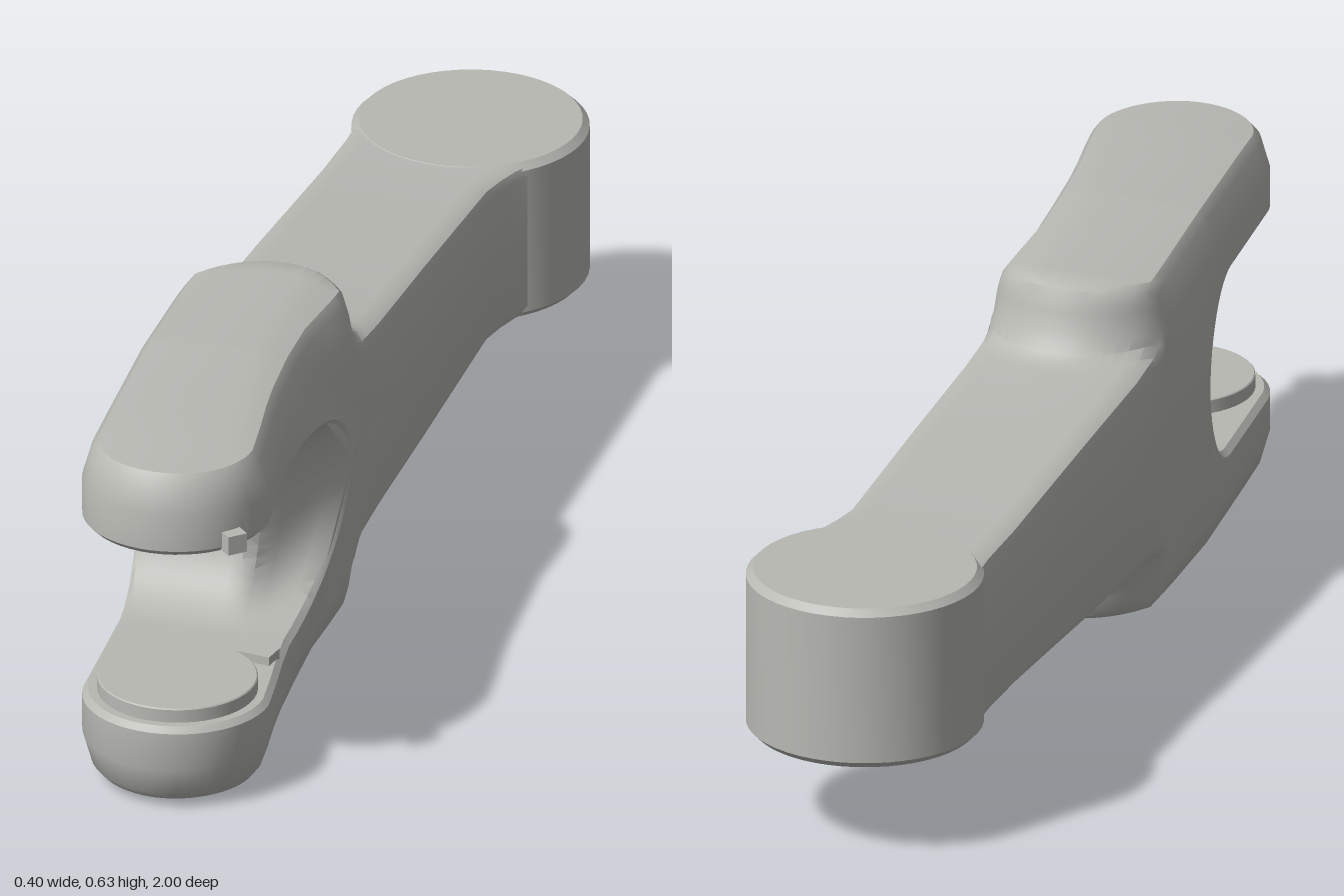
import * as THREE from 'three';
import { toCreasedNormals } from 'three/addons/utils/BufferGeometryUtils.js';

const MID = 0.32;               // height of the mirror plane
const TIP_Z = 0.84, TIP_R = 0.16;
const SLOT_Z = 0.475, SLOT_LEN = 0.135, SLOT_H = 0.16;

// linear interpolation through [position, value] keys
function keyed(keys) {
  return (s) => {
    if (s <= keys[0][0]) return keys[0][1];
    for (let i = 1; i < keys.length; i++) {
      const [a, va] = keys[i - 1], [b, vb] = keys[i];
      if (s <= b) return va + (vb - va) * (s - a) / (b - a);
    }
    return keys[keys.length - 1][1];
  };
}

const leftEdge = keyed([[-0.8, -0.19], [-0.68, -0.185], [-0.4, -0.19], [0, -0.198], [0.2, -0.196], [0.5, -0.184], [0.84, -0.16]]);
const rightEdge = keyed([[-0.8, 0.19], [-0.72, 0.175], [-0.68, 0.152], [-0.64, 0.134], [-0.6, 0.122], [-0.55, 0.112], [0.2, 0.11], [0.35, 0.105], [0.5, 0.113], [0.61, 0.124], [0.68, 0.134], [0.76, 0.148], [0.84, 0.16]]);
const outerHeight = keyed([[-0.8, 0.141], [-0.55, 0.144], [0, 0.175], [0.06, 0.184], [0.08, 0.196], [0.1, 0.228], [0.115, 0.275], [0.125, 0.296], [0.14, 0.305], [0.5, 0.317], [0.8, 0.312], [1, 0.303]]);
const prongBlend = keyed([[0.09, 0], [0.125, 1]]);
const stepWarp = keyed([[-0.1, 0], [0.08, 1], [0.14, 1], [0.5, 0]]);
const slotWarp = keyed([[-0.3, 0], [SLOT_Z, 1], [0.61, 0]]);
const crestLine = keyed([[0.14, 0.02], [0.5, 0.045], [0.85, 0.125]]);

// rounded rear edge of the raised prong and flared right side of the slot
const stepArc = (x) => Math.min(0.11, 0.16 - Math.sqrt(Math.max(0, 0.0256 - (x + 0.04) ** 2)));
const slotFlare = (x) => 2.8 * Math.max(0, Math.min(x, 0.115) - 0.02);

function slotHeight(s) {
  const t = Math.min(1, Math.max(0, (s - SLOT_Z) / SLOT_LEN));
  return SLOT_H * Math.sqrt(Math.max(0, 1 - (1 - t) ** 2));
}

// cross-section of the upper half, counterclockwise seen from the front
function section(s) {
  const sin = Math.min(1, Math.max(0, (s - TIP_Z) / TIP_R));
  const cos = Math.sqrt(1 - sin * sin);
  const xl = s > TIP_Z ? -TIP_R * cos : leftEdge(s);
  const xr = s > TIP_Z ? TIP_R * cos : rightEdge(s);
  const b = prongBlend(s), h = slotHeight(s), top = outerHeight(s);
  const bevel = 0.01 * h / SLOT_H;
  const pts = [];
  const span = (u, inset) => xl + inset * cos + (xr - xl - 2 * inset * cos) * u;
  const low = (u, inset, y) => {
    const x = span(u, inset);
    pts.push([x, y, s - inset * sin - slotFlare(x) * slotWarp(s)]);
  };
  const high = (u, inset, drop) => {
    const x = span(u, inset);
    const crown = b * (0.4 * x * x + 0.14 * Math.max(0, x - crestLine(s)));
    pts.push([x, top - drop - crown, s - inset * sin + stepArc(x) * stepWarp(s)]);
  };
  const mix = (arm, prong) => arm + (prong - arm) * b;
  const N = 14;
  for (let i = 0; i <= N; i++) low(i / N, bevel, h);
  low(1, 0, h + bevel);
  high(1, 0, mix(0.022, 0.065));
  high(1, mix(0.006, 0.015), mix(0.007, 0.014));
  for (let i = N; i >= 0; i--) high(i / N, mix(0.022, 0.028), 0);
  high(0, mix(0.006, 0.015), mix(0.007, 0.014));
  high(0, 0, mix(0.022, 0.065));
  low(0, 0, h + bevel);
  return pts;
}

function halfBody(sign) {
  const stations = [-0.8, -0.72, -0.68, -0.64, -0.6, -0.55, -0.4, -0.2, 0, 0.04, 0.06, 0.08, 0.09, 0.1, 0.11, 0.115, 0.125, 0.14, 0.18, 0.25, 0.35, 0.43];
  for (let i = 0; i <= 12; i++) stations.push(SLOT_Z + SLOT_LEN * (1 - Math.cos(i / 12 * Math.PI / 2)));
  stations.push(0.68, 0.76);
  for (let i = 0; i <= 12; i++) stations.push(TIP_Z + TIP_R * Math.sin(i / 12 * Math.PI / 2));
  const rings = stations.map(section), n = rings[0].length;
  const positions = [], index = [];
  for (const ring of rings) for (const [x, y, z] of ring) positions.push(x, MID + sign * y, z);
  for (let i = 0; i < rings.length - 1; i++) {
    for (let j = 0; j < n; j++) {
      const a = i * n + j, b = i * n + (j + 1) % n, c = b + n, d = a + n;
      if (sign > 0) index.push(a, b, c, a, c, d);
      else index.push(a, c, b, a, d, c);
    }
  }
  const geo = new THREE.BufferGeometry();
  geo.setAttribute('position', new THREE.Float32BufferAttribute(positions, 3));
  geo.setIndex(index);
  return toCreasedNormals(geo, 0.55);
}

// turned part with small bevels on both rims
function turned(radius, y0, y1, bevel) {
  const profile = [[0, y0], [radius - bevel, y0], [radius, y0 + bevel], [radius, y1 - bevel], [radius - bevel, y1], [0, y1]];
  return toCreasedNormals(new THREE.LatheGeometry(profile.map(([x, y]) => new THREE.Vector2(x, y)), 48), 0.5);
}

export function createModel() {
  const model = new THREE.Group();
  model.name = 'forkedLink';
  const grey = new THREE.MeshStandardMaterial({ color: 0xb8b8b3 });
  grey.name = 'warm grey';
  const add = (name, geo, x = 0, y = 0, z = 0) => {
    const mesh = new THREE.Mesh(geo, grey);
    mesh.name = name;
    mesh.position.set(x, y, z);
    model.add(mesh);
    return mesh;
  };

  // arm and prongs, mirrored about the middle height
  add('upperArmAndProng', halfBody(1));
  add('lowerArmAndProng', halfBody(-1));

  // round boss at the rear
  add('rearBoss', turned(0.2, 0.177, 0.464, 0.012), 0, 0, -0.8);

  // pivot disc and its stop on the lower prong
  add('pivotDisc', turned(0.135, 0.15, 0.185, 0.002), 0, 0, TIP_Z);
  add('discStop', new THREE.BoxGeometry(0.13, 0.025, 0.04), 0.06, 0.163, 0.685).rotation.y = -0.15;

  // small stop at the tip of the upper prong
  add('upperStop', new THREE.BoxGeometry(0.035, 0.034, 0.055), 0.123, 0.501, 0.937).rotation.y = Math.PI / 4;
  return model;
}
